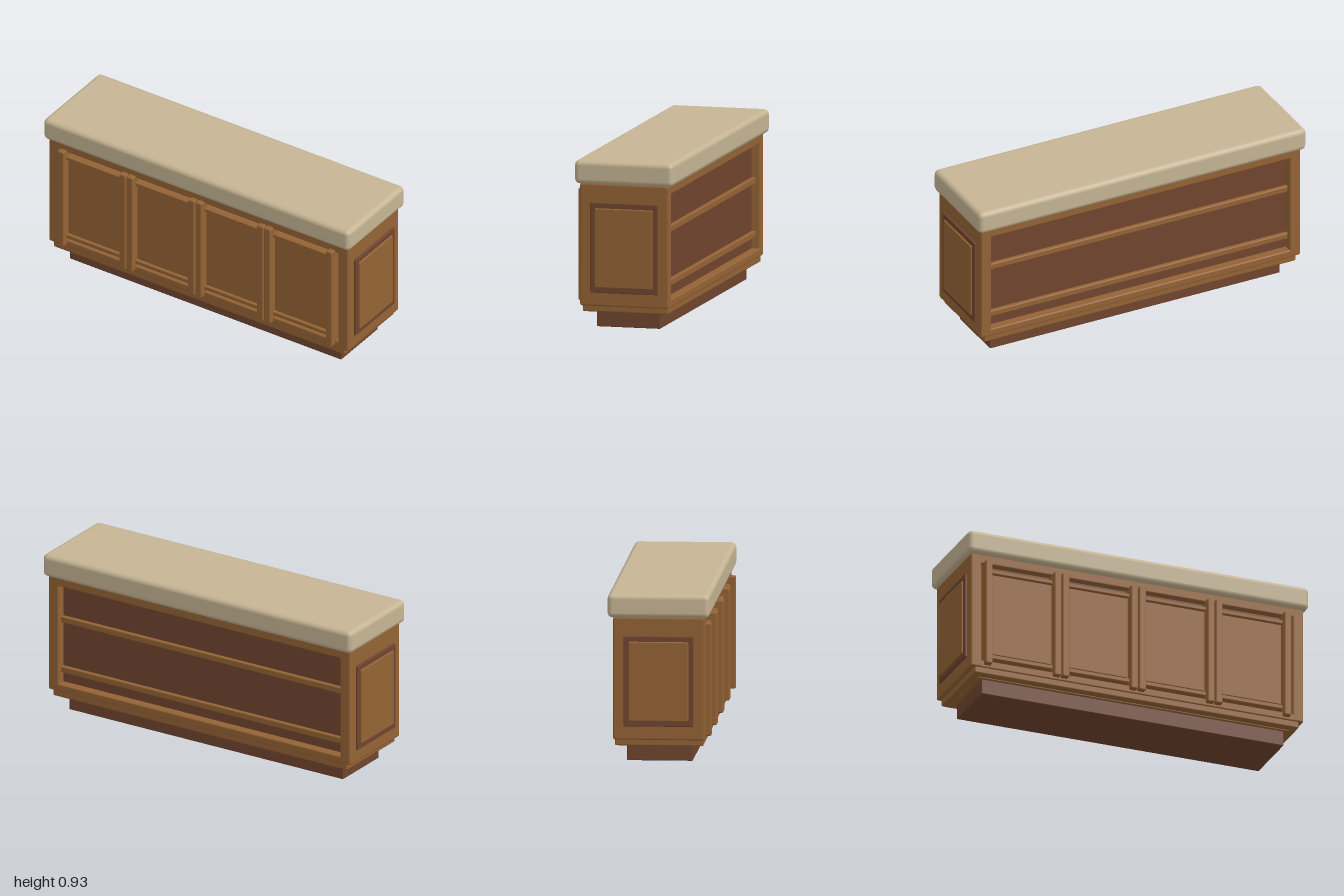
import * as THREE from 'three';
import { RoundedBoxGeometry } from 'three/addons/geometries/RoundedBoxGeometry.js';

const wood = new THREE.MeshStandardMaterial({ color: 0x946335 });
wood.name = 'warm wood';
const darkWood = new THREE.MeshStandardMaterial({ color: 0x70452e });
darkWood.name = 'dark wood';
const stone = new THREE.MeshStandardMaterial({ color: 0xc6b594 });
stone.name = 'beige stone';

export function createModel() {
  const counter = new THREE.Group();
  counter.name = 'counter';

  // Bevelled box given by its [min, max] range on each axis
  const block = (name, material, [x0, x1], [y0, y1], [z0, z1], bevel = 0.008, segments = 1) => {
    const geometry = new RoundedBoxGeometry(x1 - x0, y1 - y0, z1 - z0, segments, bevel);
    const mesh = new THREE.Mesh(geometry, material);
    mesh.name = name;
    mesh.position.set((x0 + x1) / 2, (y0 + y1) / 2, (z0 + z1) / 2);
    counter.add(mesh);
    return mesh;
  };

  // Worktop, plinth and base mouldings
  block('worktop', stone, [-0.998, 0.998], [0.795, 0.925], [-0.28, 0.275], 0.028, 2);
  block('plinth', darkWood, [-0.885, 0.885], [0, 0.1], [-0.18, 0.178], 0.005);
  block('lowerMoulding', wood, [-0.91, 0.91], [0.084, 0.1], [-0.2, 0.195], 0.004);
  block('baseMoulding', wood, [-0.95, 0.95], [0.09, 0.135], [-0.242, 0.24]);

  // Carcass: dark core framed by end walls and long beams
  block('core', darkWood, [-0.93, 0.93], [0.14, 0.78], [-0.2, 0.205], 0.004);
  block('topBeam', wood, [-0.95, 0.95], [0.745, 0.797], [-0.25, 0.247]);
  block('bottomBeam', wood, [-0.95, 0.95], [0.125, 0.168], [-0.25, 0.247]);

  for (const side of [-1, 1]) {
    const span = (a, b) => (side > 0 ? [a, b] : [-b, -a]);
    block('endWall', wood, span(0.91, 0.975), [0.125, 0.797], [-0.25, 0.248], 0.01);
    // Framed panel on each end
    block('endPanelFrame', darkWood, span(0.965, 0.986), [0.2, 0.695], [-0.192, 0.188], 0.005);
    block('endPanel', wood, span(0.975, 0.995), [0.23, 0.665], [-0.165, 0.16], 0.006);
  }

  // Front doors between pairs of upright battens
  const battenWidth = 0.042;
  for (let i = 0; i < 4; i++) {
    const left = -0.9 + i * 0.449;
    const right = left + 0.449;
    for (const x of [left, right - battenWidth - 0.005]) {
      block('batten', wood, [x, x + battenWidth], [0.14, 0.757], [0.2, 0.28]);
    }
    const width = [left + 0.03, right - 0.03];
    block('door', wood, [left + 0.047, right - 0.052], [0.212, 0.69], [0.2, 0.24], 0.006);
    block('doorBacking', wood, width, [0.19, 0.705], [0.195, 0.23], 0.004);
    block('doorTopRail', wood, width, [0.692, 0.715], [0.2, 0.25], 0.006);
    block('doorBottomRail', wood, width, [0.183, 0.208], [0.2, 0.25], 0.006);
  }

  // Shelf rails in the recessed back
  for (const y of [0.245, 0.54]) {
    block('backRail', wood, [-0.92, 0.92], [y - 0.018, y + 0.018], [-0.222, -0.19], 0.006);
  }

  return counter;
}
